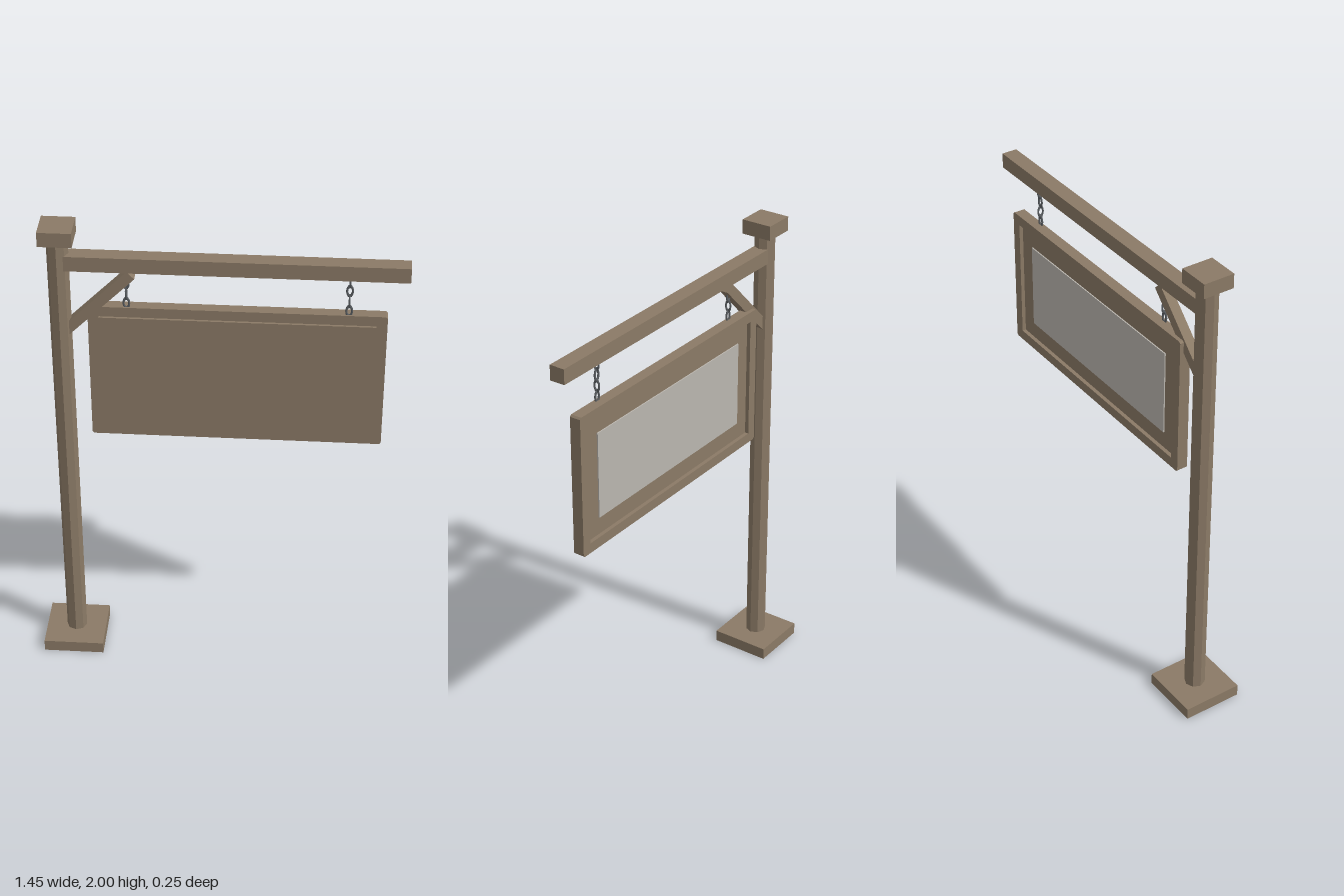
import * as THREE from 'three';

export function createModel() {
  const group = new THREE.Group();
  const material = (name, color) => {
    const m = new THREE.MeshStandardMaterial({ color });
    m.name = name;
    return m;
  };
  const wood = material('wood', 0x8b7a66);
  const paper = material('pale board', 0xbab6af);
  const iron = material('iron', 0x5a5e62);

  const add = (name, geometry, mat, x = 0, y = 0, z = 0) => {
    const mesh = new THREE.Mesh(geometry, mat);
    mesh.name = name;
    mesh.position.set(x, y, z);
    group.add(mesh);
    return mesh;
  };
  // Box given by its limits on each axis
  const box = (name, mat, [x0, x1], [y0, y1], [z0, z1]) =>
    add(name, new THREE.BoxGeometry(x1 - x0, y1 - y0, z1 - z0), mat,
      (x0 + x1) / 2, (y0 + y1) / 2, (z0 + z1) / 2);

  // Octagonal post with square foot and cap
  const postX = -0.605;
  box('foot', wood, [postX - 0.125, postX + 0.125], [0, 0.05], [-0.125, 0.125]);
  box('cap', wood, [postX - 0.065, postX + 0.065], [1.94, 2], [-0.065, 0.065]);
  const post = new THREE.CylinderGeometry(0.042, 0.042, 1.9, 8).toNonIndexed();
  post.computeVertexNormals();
  add('post', post, wood, postX, 0.995, 0);

  // Arm and diagonal brace
  box('arm', wood, [-0.6, 0.722], [1.82, 1.882], [-0.032, 0.032]);
  const brace = add('brace', new THREE.BoxGeometry(0.368, 0.042, 0.04), wood, -0.46, 1.673, 0);
  brace.rotation.z = Math.PI / 4;

  // Sign frame: rectangle with clipped corners and a rectangular opening
  const x0 = -0.5, x1 = 0.645, y0 = 1.065, y1 = 1.655, rim = 0.042, c = 0.007;
  const points = (list) => list.map(([x, y]) => new THREE.Vector2(x, y));
  const outline = new THREE.Shape(points([
    [x0 + c, y0], [x1 - c, y0], [x1, y0 + c], [x1, y1 - c],
    [x1 - c, y1], [x0 + c, y1], [x0, y1 - c], [x0, y0 + c],
  ]));
  outline.holes.push(new THREE.Path(points([
    [x0 + rim, y0 + rim], [x0 + rim, y1 - rim], [x1 - rim, y1 - rim], [x1 - rim, y0 + rim],
  ])));
  add('signFrame', new THREE.ExtrudeGeometry(outline, { depth: 0.046, bevelEnabled: false }),
    wood, 0, 0, -0.036);

  // Panel stands proud in front and is recessed behind, with a pale board on its back
  box('signPanel', wood, [x0 + rim, x1 - rim], [y0 + rim, y1 - rim], [-0.02, 0.02]);
  box('noticeBoard', paper, [-0.39, 0.53], [1.18, 1.54], [-0.025, -0.019]);

  // Two short chains of oval links, alternately turned
  const link = new THREE.TorusGeometry(0.011, 0.004, 6, 12);
  for (const x of [-0.35, 0.497]) {
    for (let i = 0; i < 4; i++) {
      const ring = add('chainLink', link, iron, x, 1.803 - i * 0.044, 0);
      ring.scale.y = 1.9;
      ring.rotation.y = i % 2 ? 0 : Math.PI / 2;
    }
  }
  return group;
}
